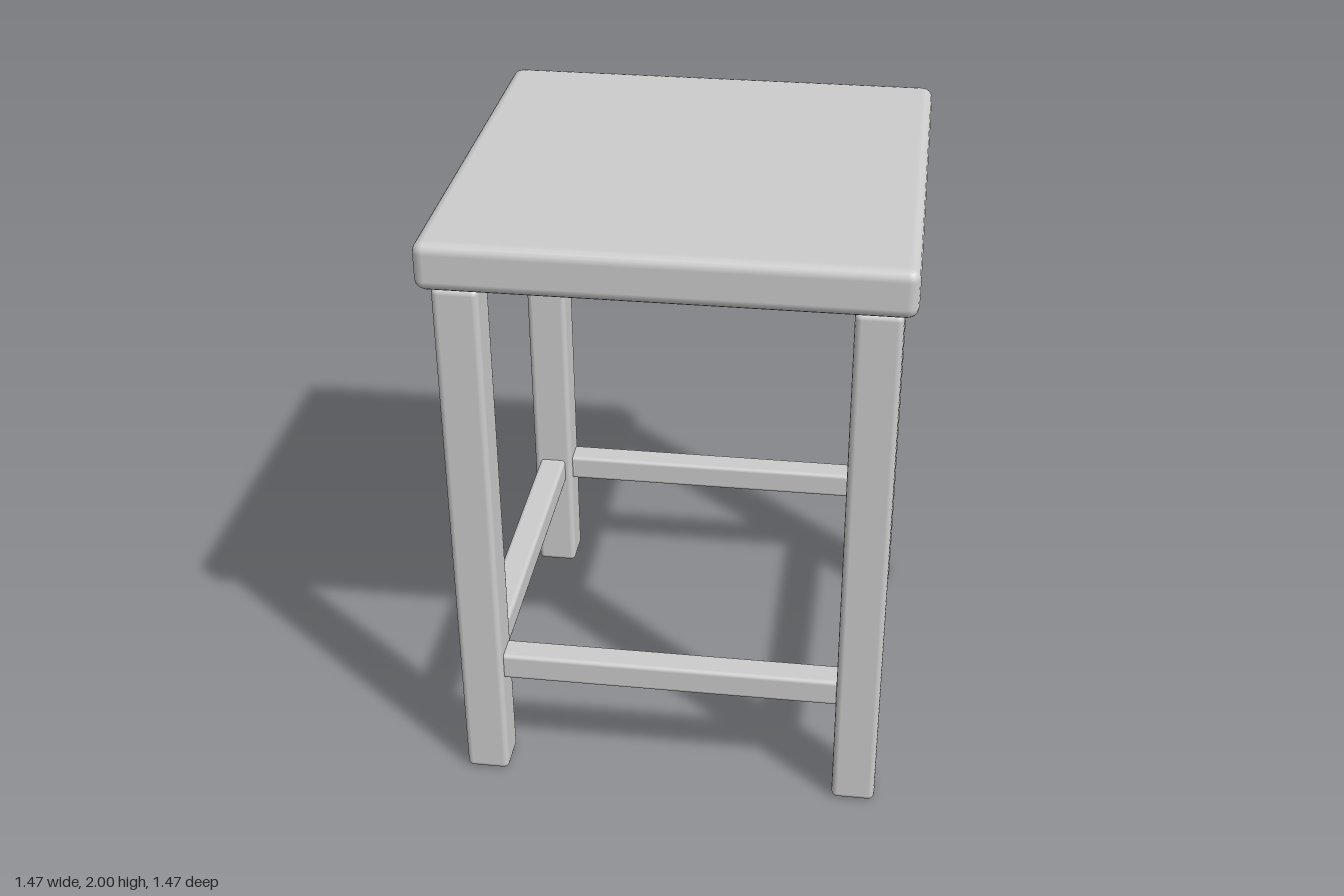
import * as THREE from 'three';
import { RoundedBoxGeometry } from 'three/addons/geometries/RoundedBoxGeometry.js';

export function createModel() {
  const model = new THREE.Group();
  model.name = 'stool';

  const grey = new THREE.MeshStandardMaterial({ color: 0xcccccc });
  grey.name = 'light grey';

  // Adds one softly rounded bar or board
  function addBlock(name, size, position, radius) {
    const mesh = new THREE.Mesh(new RoundedBoxGeometry(...size, 2, radius), grey);
    mesh.name = name;
    mesh.position.set(...position);
    model.add(mesh);
  }

  const legOffset = 0.624;
  const legWidth = 0.143;
  const legHeight = 1.835;
  const railSize = 0.095;
  const railLength = 2 * legOffset - legWidth + 0.02;
  const railHeight = 0.43;

  // Square seat board
  addBlock('seat', [1.47, 0.155, 1.47], [0, 1.9225, 0], 0.035);

  // Four legs
  for (const x of [1, -1]) {
    for (const z of [1, -1]) {
      addBlock(
        (z > 0 ? 'front' : 'back') + (x > 0 ? 'Left' : 'Right') + 'Leg',
        [legWidth, legHeight, legWidth],
        [x * legOffset, legHeight / 2 + 0.005, z * legOffset],
        0.02
      );
    }
  }

  // Four stretchers joining neighbouring legs
  for (const s of [1, -1]) {
    addBlock(
      s > 0 ? 'frontStretcher' : 'backStretcher',
      [railLength, railSize, railSize],
      [0, railHeight, s * legOffset],
      0.014
    );
    addBlock(
      s > 0 ? 'leftStretcher' : 'rightStretcher',
      [railSize, railSize, railLength],
      [s * legOffset, railHeight, 0],
      0.014
    );
  }

  return model;
}
